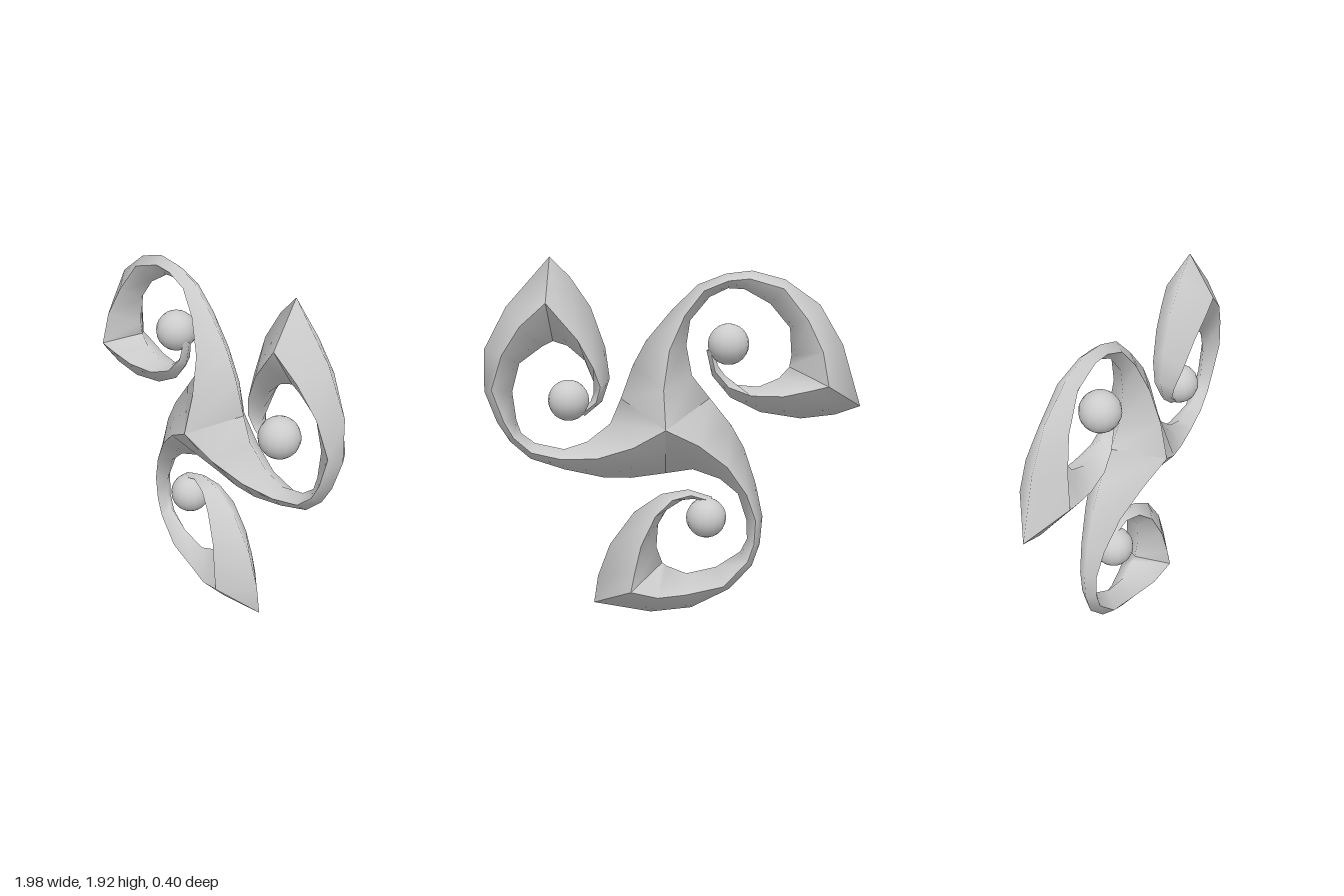
import * as THREE from 'three';

const CENTRE = new THREE.Vector2(0.03, 1.05);
const TIP = 10; // station of the pointed leaf corner

// Cross-sections along one arm, relative to the hub:
// outer x, y | ridge x, y | inner x, y | half depth at the ridge
const STATIONS = [
  [0.234, 0.135, 0, 0, -0.234, 0.135, 0.2],
  [0.17, 0.31, 0.01, 0.2, -0.14, 0.255, 0.155],
  [0.1, 0.44, -0.02, 0.4, -0.11, 0.415, 0.105],
  [-0.035, 0.6, -0.1, 0.575, -0.13, 0.545, 0.07],
  [-0.17, 0.73, -0.2, 0.7, -0.23, 0.665, 0.05],
  [-0.315, 0.785, -0.325, 0.75, -0.325, 0.71, 0.045],
  [-0.45, 0.8, -0.435, 0.76, -0.41, 0.705, 0.045],
  [-0.62, 0.755, -0.61, 0.71, -0.545, 0.63, 0.055],
  [-0.805, 0.625, -0.735, 0.55, -0.65, 0.505, 0.08],
  [-0.93, 0.415, -0.81, 0.39, -0.66, 0.36, 0.115],
  [-1.03, 0.09, -0.84, 0.215, -0.65, 0.3, 0.14],
  [-0.895, 0.045, -0.74, 0.19, -0.597, 0.24, 0.132],
  [-0.715, 0.025, -0.61, 0.16, -0.49, 0.195, 0.115],
  [-0.5, 0.06, -0.447, 0.16, -0.378, 0.205, 0.09],
  [-0.34, 0.14, -0.33, 0.2, -0.313, 0.255, 0.06],
  [-0.245, 0.255, -0.26, 0.28, -0.275, 0.308, 0.035],
  [-0.215, 0.39, -0.235, 0.39, -0.255, 0.39, 0.025],
];

// Each arm is turned about the hub and bent a little: [station, dx, dy]
const ARMS = [
  { name: 'upperArm', turn: 0, bend: [[0, 0, 0], [16, 0, 0]] },
  { name: 'leftArm', turn: -1, bend: [[0, 0, 0], [4, 0, 0.03], [6, -0.03, 0.02], [8, 0, 0.01], [10, 0, 0.025], [13, 0.01, 0], [16, -0.02, 0.05]] },
  { name: 'lowerArm', turn: 1, bend: [[0, 0, 0], [4, 0.025, 0], [6, 0, 0], [8, 0, -0.015], [10, -0.047, -0.055], [13, -0.03, -0.02], [16, -0.02, -0.02]] },
];

// Turn a hub-relative point into its place on the given arm
function place(arm, x, y, station) {
  const p = new THREE.Vector2(x, y).rotateAround(new THREE.Vector2(), arm.turn * Math.PI * 2 / 3).add(CENTRE);
  const k = Math.max(1, arm.bend.findIndex((b) => b[0] >= station));
  const [s0, x0, y0] = arm.bend[k - 1];
  const [s1, x1, y1] = arm.bend[k];
  const t = (station - s0) / (s1 - s0);
  p.x += x0 + (x1 - x0) * t;
  p.y += y0 + (y1 - y0) * t;
  return p;
}

// Loft a smooth strip through rows of points
function loft(rows) {
  const n = rows[0].length;
  const index = [];
  for (let i = 0; i < rows.length - 1; i++) {
    for (let j = 0; j < n - 1; j++) {
      const a = i * n + j, c = a + n;
      index.push(a, c, a + 1, a + 1, c, c + 1);
    }
  }
  const geo = new THREE.BufferGeometry().setFromPoints(rows.flat());
  geo.setIndex(index);
  geo.computeVertexNormals();
  return geo;
}

export function createModel() {
  const group = new THREE.Group();
  group.name = 'tripleSpiral';
  const material = new THREE.MeshStandardMaterial({ color: 0xcccccc, side: THREE.DoubleSide });

  for (const arm of ARMS) {
    const armGroup = new THREE.Group();
    armGroup.name = arm.name;
    const add = (name, geo) => {
      const mesh = new THREE.Mesh(geo, material);
      mesh.name = name;
      armGroup.add(mesh);
      return mesh;
    };

    // Diamond section: the outer and inner faces meet at front and back ridges
    const outer = [], inner = [];
    STATIONS.forEach(([ox, oy, rx, ry, ix, iy, w], s) => {
      const o = place(arm, ox, oy, s), r = place(arm, rx, ry, s), i = place(arm, ix, iy, s);
      const front = new THREE.Vector3(r.x, r.y, w);
      const back = new THREE.Vector3(r.x, r.y, -w);
      outer.push([back, new THREE.Vector3(o.x, o.y, 0), front]);
      inner.push([front, new THREE.Vector3(i.x, i.y, 0), back]);
    });

    // Faces are split at the leaf tip to keep its crease sharp
    add('outerStem', loft(outer.slice(0, TIP + 1)));
    add('outerLeaf', loft(outer.slice(TIP)));
    add('innerStem', loft(inner.slice(0, TIP + 1)));
    add('innerLeaf', loft(inner.slice(TIP)));

    // Ball at the end of the curl
    const b = place(arm, -0.33, 0.42, 16);
    add('ball', new THREE.SphereGeometry(0.108, 16, 12)).position.set(b.x, b.y, 0);
    group.add(armGroup);
  }
  return group;
}
